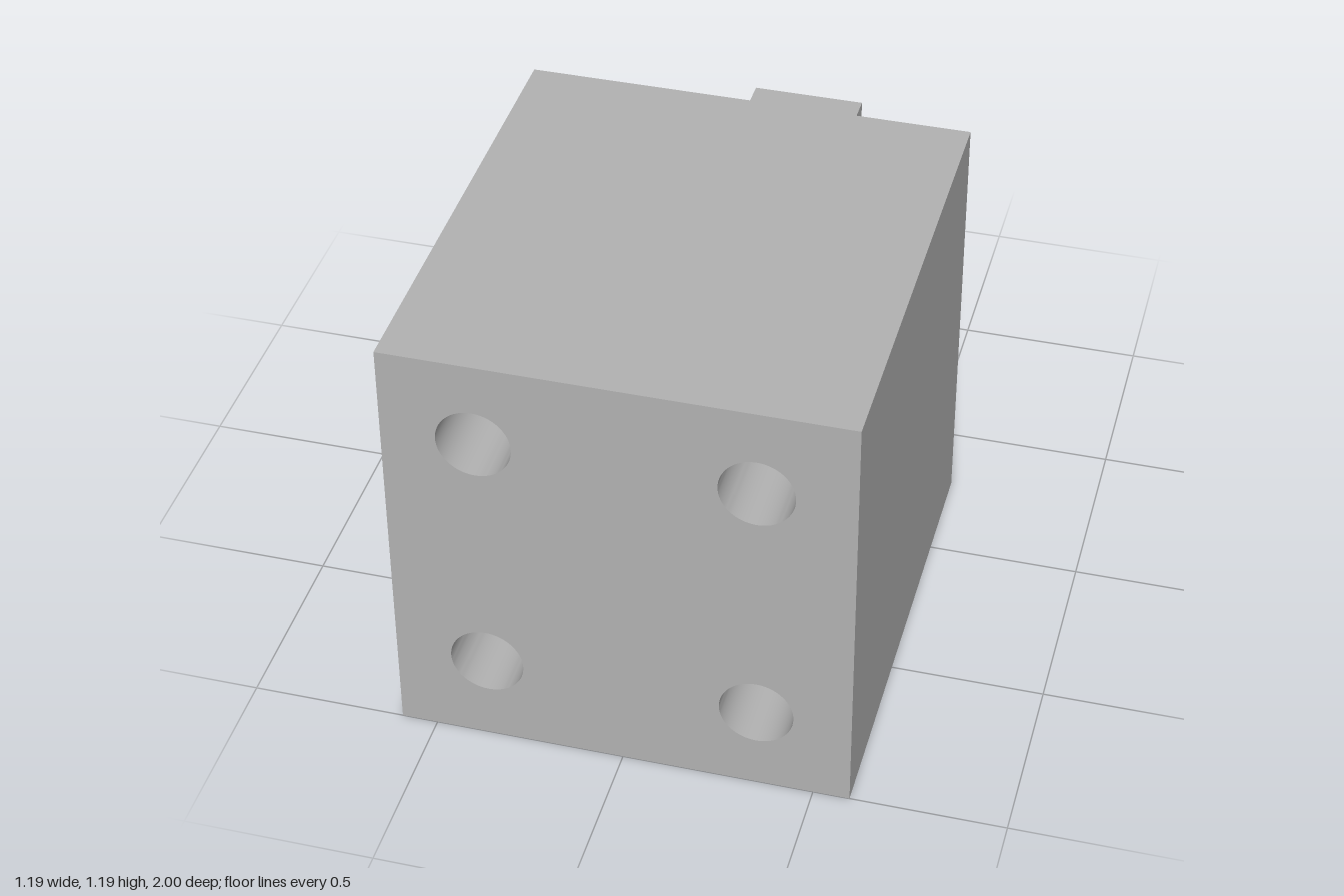
import * as THREE from 'three';
import { toCreasedNormals } from 'three/addons/utils/BufferGeometryUtils.js';

export function createModel() {
  const model = new THREE.Group();
  const grey = new THREE.MeshStandardMaterial({ color: 0xb2b2b2 });
  grey.name = 'plain grey';

  const half = 0.595, height = 1.19, back = -0.285, front = 1;

  // Square block with four bores running right through it
  const outline = new THREE.Shape();
  outline.moveTo(-half, 0);
  outline.lineTo(half, 0);
  outline.lineTo(half, height);
  outline.lineTo(-half, height);
  outline.closePath();
  const bores = [[-0.358, 0.955], [0.347, 0.95], [-0.354, 0.248], [0.35, 0.239]];
  for (const [x, y] of bores) {
    const hole = new THREE.Path();
    hole.absarc(x, y, 0.096, 0, Math.PI * 2, true);
    outline.holes.push(hole);
  }
  const blockGeometry = new THREE.ExtrudeGeometry(outline, {
    depth: front - back, bevelEnabled: false, curveSegments: 32,
  });
  blockGeometry.translate(0, 0, back);
  const block = new THREE.Mesh(toCreasedNormals(blockGeometry, 0.6), grey);
  block.name = 'boredBlock';
  model.add(block);

  // Square shank projecting from the back face
  const shankLength = back + 1;
  const shank = new THREE.Mesh(new THREE.BoxGeometry(0.315, 0.315, shankLength), grey);
  shank.position.set(-0.003, 0.598, -1 + shankLength / 2);
  shank.name = 'squareShank';
  model.add(shank);

  return model;
}
